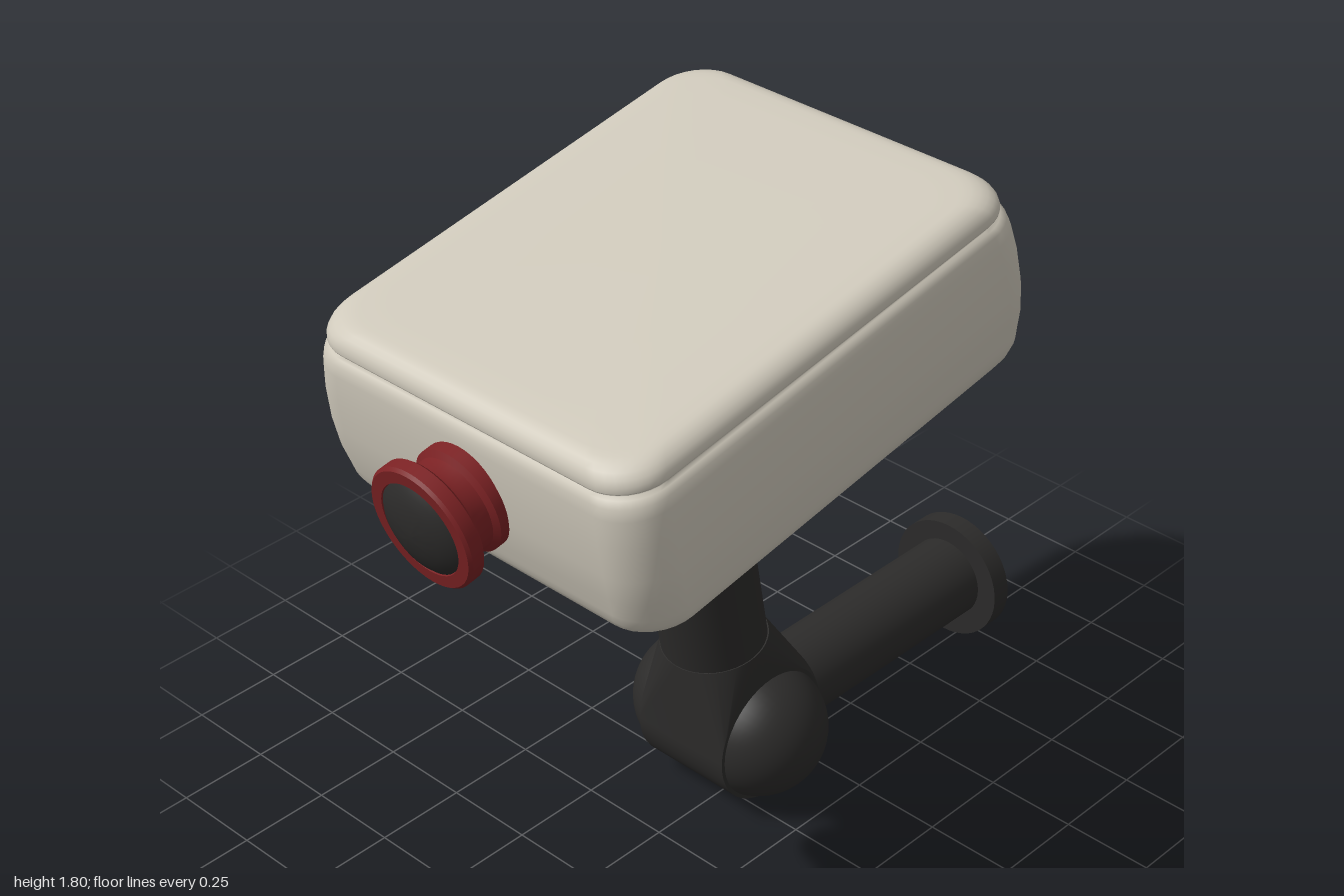
import * as THREE from 'three';
import { toCreasedNormals } from 'three/addons/utils/BufferGeometryUtils.js';
import { ConvexGeometry } from 'three/addons/geometries/ConvexGeometry.js';

const TILT = THREE.MathUtils.degToRad(10);
const ARM_X = -0.04;
const shell = new THREE.MeshStandardMaterial({ color: 0xcfc9bb });
const dark = new THREE.MeshStandardMaterial({ color: 0x2c2b2a });
const red = new THREE.MeshStandardMaterial({ color: 0x7c2224 });

function add(parent, name, geometry, material, x = 0, y = 0, z = 0) {
  const mesh = new THREE.Mesh(geometry, material);
  mesh.name = name;
  mesh.position.set(x, y, z);
  parent.add(mesh);
  return mesh;
}

// Rounded-rectangle outline, running from +x towards +z
function outline(halfW, halfL, radius, steps = 8) {
  const points = [];
  for (let corner = 0; corner < 4; corner++) {
    const sx = corner === 0 || corner === 3 ? 1 : -1;
    const sz = corner < 2 ? 1 : -1;
    for (let i = 0; i <= steps; i++) {
      const a = (corner + i / steps) * Math.PI / 2;
      points.push([sx * (halfW - radius) + radius * Math.cos(a), sz * (halfL - radius) + radius * Math.sin(a)]);
    }
  }
  return points;
}

// Stack of rounded rectangles; each row is [inset, height, scale]
function loftedBox(halfW, halfL, radius, rows) {
  const positions = [], index = [];
  let n = 0;
  rows.forEach(([inset, y, scale = 1], r) => {
    const ring = outline(halfW - inset, halfL - inset, radius);
    n = ring.length;
    ring.forEach(([x, z]) => positions.push(x * scale, y, z * scale));
    if (r === 0) return;
    for (let i = 0; i < n; i++) {
      const a = (r - 1) * n + i, b = (r - 1) * n + (i + 1) % n;
      index.push(a, a + n, b, b, a + n, b + n);
    }
  });
  const geometry = new THREE.BufferGeometry();
  geometry.setAttribute('position', new THREE.Float32BufferAttribute(positions, 3));
  geometry.setIndex(index);
  geometry.computeVertexNormals();
  return geometry;
}

// Quarter-round edge rows between two heights
function roundEdge(inset, depth, yFrom, yTo, outward) {
  return Array.from({ length: 7 }, (_, i) => {
    const a = (i / 6) * Math.PI / 2;
    return outward
      ? [inset + depth * (1 - Math.sin(a)), yTo + (yFrom - yTo) * Math.cos(a)]
      : [inset + depth * (1 - Math.cos(a)), yFrom + (yTo - yFrom) * Math.sin(a)];
  });
}

function lathe(points) {
  const geometry = new THREE.LatheGeometry(points.map(([r, y]) => new THREE.Vector2(r, y)), 48);
  return toCreasedNormals(geometry, 0.6);
}

// Points of a circle with a given centre and rotation about x (lying in xz before rotation)
function circle(radius, centre, tilt) {
  const axis = new THREE.Vector3(1, 0, 0);
  return Array.from({ length: 48 }, (_, i) => {
    const a = (i / 48) * Math.PI * 2;
    return new THREE.Vector3(radius * Math.cos(a), 0, radius * Math.sin(a)).applyAxisAngle(axis, tilt).add(centre);
  });
}

export function createModel() {
  const model = new THREE.Group();
  model.name = 'mountedCamera';

  // Tilted head: casing, lens and upper arm share one leaning frame
  const head = new THREE.Group();
  head.name = 'tiltedHead';
  head.rotation.x = TILT;
  model.add(head);

  // Casing with a bulged side wall, a seam and a softly crowned lid
  const rows = [
    [0.11, -0.251, 0], [0.11, -0.251, 0.9],
    ...roundEdge(0.012, 0.09, -0.25, -0.16, true),
    [0.003, -0.1], [0, -0.03], [0.003, 0.06], [0.01, 0.13],
    [0.016, 0.158], [0.026, 0.172], [0.034, 0.176], [0.034, 0.182], [0.026, 0.188],
    ...roundEdge(0.025, 0.06, 0.192, 0.245, false),
    [0.085, 0.249, 0.9], [0.085, 0.251, 0.5], [0.085, 0.252, 0],
  ];
  add(head, 'casing', loftedBox(0.543, 0.678, 0.12, rows), shell, 0, 1.463, -0.087);

  // Lens barrel with flared rim, and the domed glass
  const barrel = lathe([[0, 0], [0.135, 0], [0.135, 0.035], [0.12, 0.045], [0.118, 0.08], [0.126, 0.1],
    [0.152, 0.105], [0.16, 0.112], [0.16, 0.145], [0.153, 0.153], [0.122, 0.153], [0.12, 0.125], [0, 0.125]]);
  add(head, 'lensBarrel', barrel, red, -0.005, 1.45, 0.58).rotation.x = Math.PI / 2;
  const glass = lathe([[0.122, 0.13], [0.12, 0.15], [0.105, 0.161], [0.08, 0.172], [0.05, 0.18], [0.02, 0.184], [0, 0.185]]);
  add(head, 'lensGlass', glass, dark, -0.005, 1.45, 0.58).rotation.x = Math.PI / 2;

  // Upper arm and the plate under the casing
  add(head, 'upperArm', new THREE.CylinderGeometry(0.138, 0.138, 0.69, 48), dark, ARM_X, 0.815, -0.082);
  add(head, 'headPlate', new THREE.CylinderGeometry(0.208, 0.208, 0.08, 48), dark, ARM_X, 1.184, -0.082);

  // Elbow: a hull joining both arm ends to a hinge barrel, capped by domes
  const hinge = new THREE.Vector3(ARM_X, 0.205, -0.06);
  const hullPoints = [
    ...circle(0.141, new THREE.Vector3(ARM_X, 0.478, 0), TILT),
    ...circle(0.118, new THREE.Vector3(ARM_X, 0.18, -0.28), Math.PI / 2),
  ];
  for (const side of [-1, 1]) {
    for (let i = 0; i < 48; i++) {
      const a = (i / 48) * Math.PI * 2;
      hullPoints.push(new THREE.Vector3(side * 0.147, 0.187 * Math.cos(a), 0.187 * Math.sin(a)).add(hinge));
    }
    const dome = new THREE.SphereGeometry(0.183, 48, 16, 0, Math.PI * 2, 0, Math.PI / 2);
    add(model, side > 0 ? 'leftElbowDome' : 'rightElbowDome', dome, dark, ARM_X + side * 0.1, hinge.y, hinge.z)
      .rotation.z = -side * Math.PI / 2;
  }
  add(model, 'elbow', toCreasedNormals(new ConvexGeometry(hullPoints), 0.5), dark);

  // Lower arm and wall plate
  add(model, 'lowerArm', new THREE.CylinderGeometry(0.115, 0.115, 0.7, 48), dark, ARM_X, 0.18, -0.61)
    .rotation.x = Math.PI / 2;
  add(model, 'wallPlate', new THREE.CylinderGeometry(0.175, 0.175, 0.057, 48), dark, ARM_X, 0.175, -0.9715)
    .rotation.x = Math.PI / 2;

  return model;
}
